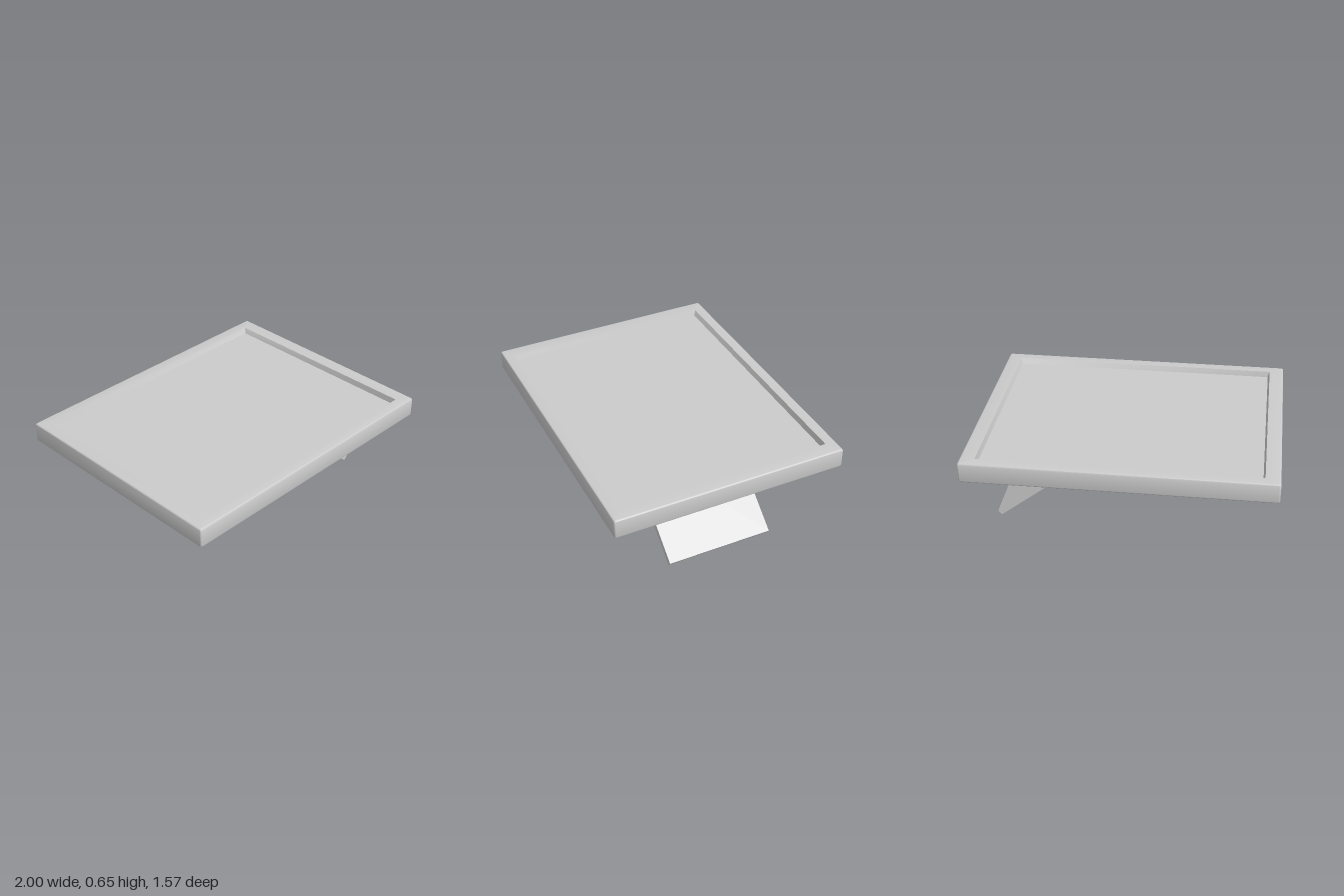
import * as THREE from 'three';
import { toCreasedNormals } from 'three/addons/utils/BufferGeometryUtils.js';

const material = new THREE.MeshStandardMaterial({ color: 0xcccccc });

// Rounded rectangle of points at one height
function ring([hx, hz, y, r], steps = 4) {
  const points = [];
  for (let corner = 0; corner < 4; corner++) {
    const sx = corner === 0 || corner === 3 ? 1 : -1;
    const sz = corner < 2 ? 1 : -1;
    for (let i = 0; i <= steps; i++) {
      const t = (corner + i / steps) * Math.PI / 2;
      points.push(sx * (hx - r) + r * Math.cos(t), y, sz * (hz - r) + r * Math.sin(t));
    }
  }
  return points;
}

// Skin a stack of rings, running from the underside round to the tray floor
function loft(sections) {
  const n = 20;
  const positions = sections.flatMap((s) => ring(s));
  const index = [];
  for (let i = 0; i < sections.length - 1; i++) {
    for (let j = 0; j < n; j++) {
      const a = i * n + j, b = i * n + (j + 1) % n;
      if (i > 0) index.push(a, a + n, b);
      if (i < sections.length - 2) index.push(b, a + n, b + n);
    }
    // The first ring is collapsed to the centre, as is the last
    if (i === sections.length - 2) break;
  }
  const geometry = new THREE.BufferGeometry();
  geometry.setAttribute('position', new THREE.Float32BufferAttribute(positions, 3));
  geometry.setIndex(index);
  return toCreasedNormals(geometry, 0.6);
}

export function createModel() {
  const model = new THREE.Group();
  const bottom = 0.52, top = 0.655, floor = 0.618;
  const hx = 1, hz = 0.785, bevel = 0.012;

  // Tray: half width, half depth, height and corner radius of each ring
  const sections = [[0, 0, bottom, 0]];
  for (let i = 0; i <= 3; i++) {
    const t = (i / 3) * Math.PI / 2, d = bevel * (1 - Math.sin(t));
    sections.push([hx - d, hz - d, bottom + bevel * (1 - Math.cos(t)), 0.012]);
  }
  for (let i = 0; i <= 3; i++) {
    const t = (i / 3) * Math.PI / 2, d = bevel * (1 - Math.cos(t));
    sections.push([hx - d, hz - d, top - bevel * (1 - Math.sin(t)), 0.012]);
  }
  sections.push(
    [0.903, 0.711, top, 0.008],
    [0.892, 0.699, floor, 0.008],
    [0, 0, floor, 0],
  );
  const tray = new THREE.Mesh(loft(sections), material);
  tray.name = 'recessedTray';
  model.add(tray);

  // Slanted support plate, its upper end set into the underside of the tray
  const low = new THREE.Vector2(0.86, 0.017), high = new THREE.Vector2(0.19, 0.54);
  const along = high.clone().sub(low);
  const stand = new THREE.Mesh(new THREE.BoxGeometry(along.length(), 0.038, 0.72), material);
  stand.name = 'stand';
  stand.position.set((low.x + high.x) / 2, (low.y + high.y) / 2, 0);
  stand.rotation.z = Math.atan2(-along.y, -along.x);
  model.add(stand);

  return model;
}
